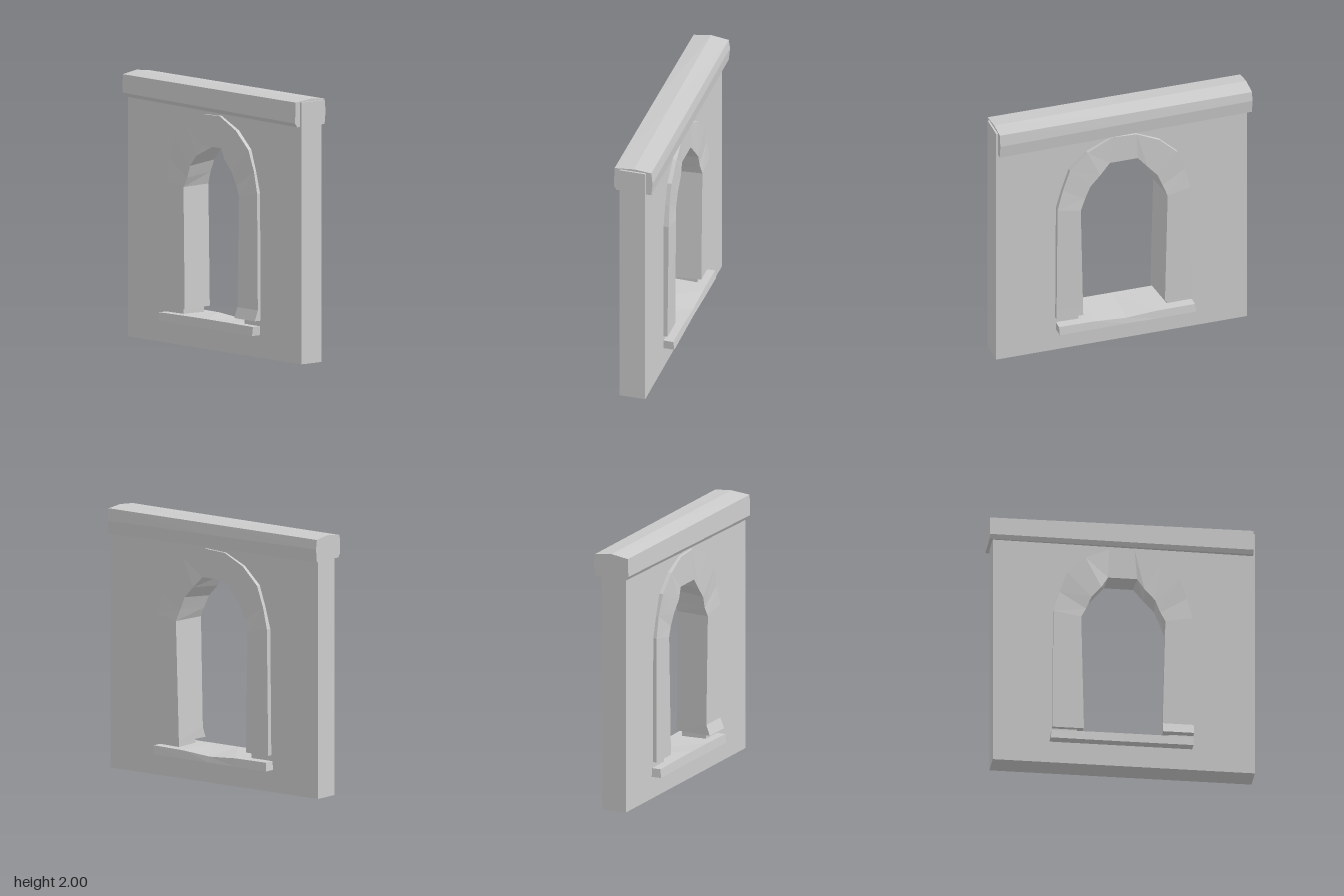
import * as THREE from 'three';

const material = new THREE.MeshStandardMaterial({
  color: 0xcccccc, flatShading: true, side: THREE.DoubleSide,
});

// Joins closed rings of [x, y, z] corners (counter-clockwise about the path) and caps both ends.
function loft(name, rings) {
  const pos = [];
  const tri = (a, b, c) => pos.push(...a, ...b, ...c);
  const n = rings[0].length;
  for (let i = 0; i < rings.length - 1; i++) {
    for (let j = 0; j < n; j++) {
      const k = (j + 1) % n;
      const a = rings[i][j], b = rings[i][k], c = rings[i + 1][k], d = rings[i + 1][j];
      tri(a, b, c);
      tri(a, c, d);
    }
  }
  const first = rings[0], last = rings[rings.length - 1];
  for (let j = 1; j < n - 1; j++) {
    tri(first[0], first[j + 1], first[j]);
    tri(last[0], last[j], last[j + 1]);
  }
  const geo = new THREE.BufferGeometry();
  geo.setAttribute('position', new THREE.Float32BufferAttribute(pos, 3));
  geo.computeVertexNormals();
  const mesh = new THREE.Mesh(geo, material);
  mesh.name = name;
  return mesh;
}

// Wall slab with an arched opening, drawn in (z, y) and extruded across x
function makeWall() {
  const points = (list) => list.map(([z, y]) => new THREE.Vector2(z, y));
  const shape = new THREE.Shape(points([[-0.975, 0], [1, 0], [1, 1.975], [-0.975, 1.975]]));
  shape.holes.push(new THREE.Path(points([
    [0.35, 0.19], [0.36, 1.2], [0.29, 1.42], [0.13, 1.59],
    [-0.13, 1.59], [-0.28, 1.42], [-0.35, 1.2], [-0.34, 0.19],
  ])));
  const geo = new THREE.ExtrudeGeometry(shape, { depth: 0.2, bevelEnabled: false });
  geo.rotateY(-Math.PI / 2).translate(0.092, 0, 0);
  const mesh = new THREE.Mesh(geo, material);
  mesh.name = 'wall';
  return mesh;
}

// Arched stone surround; each station: outer z, y, inner z, y (right face), left x, right x
function makeSurround() {
  const stations = [
    [0.535, 0.28, 0.325, 0.28, -0.165, 0.125],
    [0.535, 0.36, 0.327, 0.36, -0.135, 0.125],
    [0.53, 1.24, 0.347, 1.2, -0.138, 0.133],
    [0.485, 1.4, 0.31, 1.295, -0.13, 0.125],
    [0.43, 1.56, 0.27, 1.39, -0.138, 0.125],
    [0.29, 1.69, 0.19, 1.475, -0.14, 0.123],
    [0.09, 1.78, 0.11, 1.56, -0.13, 0.11],
    [-0.1, 1.77, -0.11, 1.56, -0.13, 0.11],
    [-0.28, 1.69, -0.185, 1.475, -0.14, 0.12],
    [-0.42, 1.56, -0.26, 1.39, -0.138, 0.125],
    [-0.475, 1.4, -0.3, 1.295, -0.13, 0.122],
    [-0.52, 1.24, -0.337, 1.2, -0.135, 0.133],
    [-0.53, 0.28, -0.317, 0.28, -0.14, 0.13],
  ];
  return loft('archSurround', stations.map(([oz, oy, iz, iy, left, right]) => {
    // The opening narrows a little towards the left face
    const nz = iz - Math.sign(iz) * (iy > 1.5 ? 0 : 0.025);
    const ny = iy > 1.25 ? iy - 0.022 : iy;
    return [[left, ny, nz], [left, oy, oz], [right, oy, oz], [right, iy, iz]];
  }));
}

// Crowned capping beam, slightly uneven along its length
function makeBeam() {
  const section = (z, left, right, bottom, crown) => [
    [left + 0.02, bottom, z], [right - 0.01, bottom, z], [right, bottom + 0.1, z],
    [right - 0.01, 1.982, z], [0, crown, z], [left + 0.005, 1.978, z], [left, bottom + 0.03, z],
  ];
  return loft('cappingBeam', [
    section(-1, -0.142, 0.148, 1.81, 2),
    section(0, -0.15, 0.147, 1.8, 1.997),
    section(0.985, -0.157, 0.145, 1.79, 1.993),
  ]);
}

// Worn sill passing through the opening
function makeSill() {
  const section = (z, flare, left, right, yLeft, yRight) => [
    [left, 0.17, z + flare], [right, 0.17, z + flare],
    [right - 0.008, yRight, z], [left + 0.006, yLeft, z],
  ];
  return loft('sill', [
    section(-0.54, -0.008, -0.185, 0.178, 0.235, 0.235),
    section(-0.25, 0, -0.183, 0.176, 0.239, 0.233),
    section(0, 0, -0.182, 0.172, 0.24, 0.215),
    section(0.25, 0, -0.183, 0.174, 0.24, 0.233),
    section(0.53, -0.003, -0.185, 0.176, 0.238, 0.238),
  ]);
}

export function createModel() {
  const model = new THREE.Group();
  model.name = 'archedWall';
  model.add(makeWall(), makeSurround(), makeBeam(), makeSill());
  return model;
}
